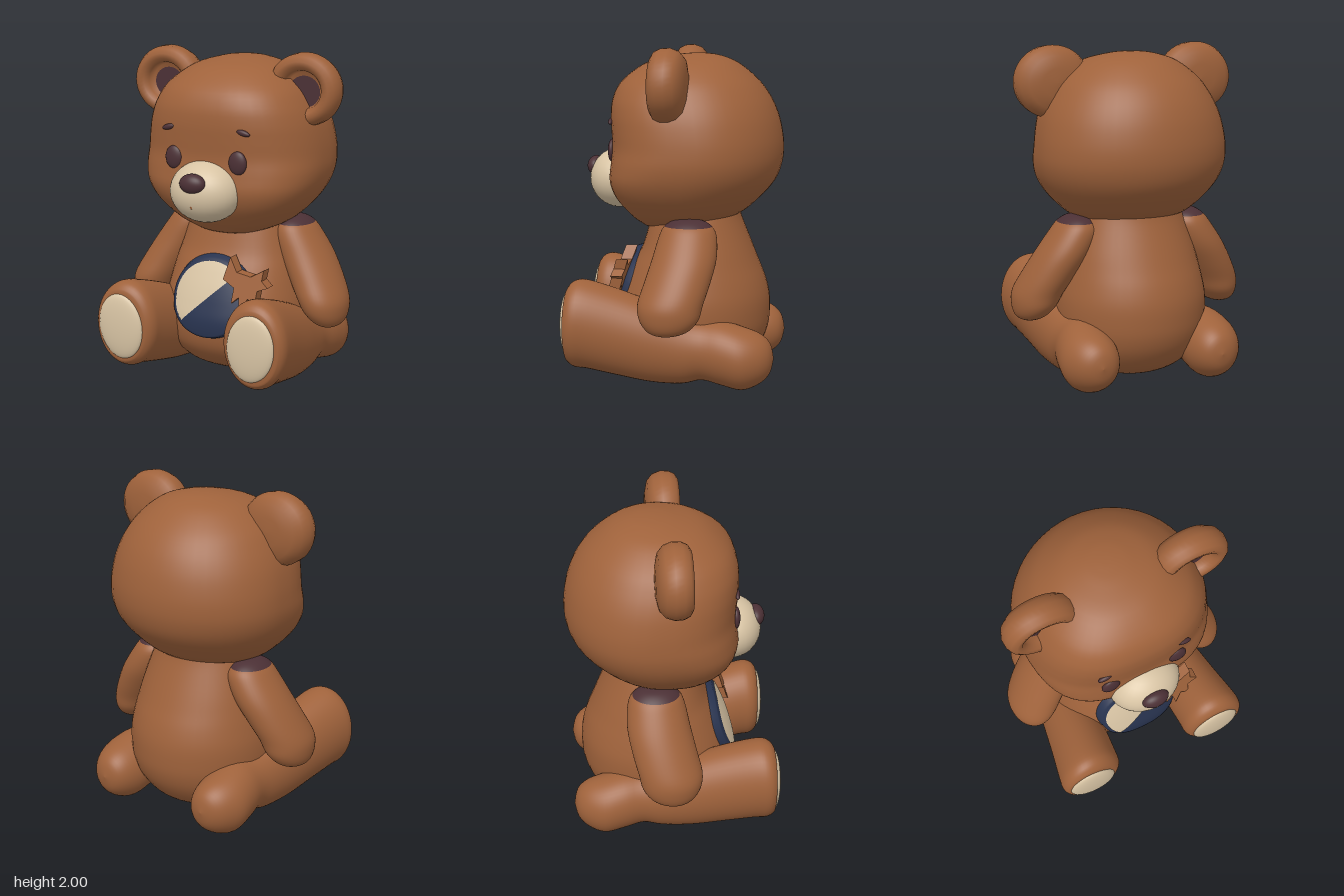
import * as THREE from 'three';

const material = (name, color, side = THREE.FrontSide) => {
  const m = new THREE.MeshStandardMaterial({ color, side });
  m.name = name;
  return m;
};

// Catmull-Rom smoothing of a list of section rows
function smooth(rows, steps = 4) {
  const out = [];
  const at = i => rows[Math.min(Math.max(i, 0), rows.length - 1)];
  for (let i = 0; i < rows.length - 1; i++) {
    for (let k = 0; k < steps; k++) {
      const t = k / steps;
      out.push(rows[i].map((b, j) => {
        const a = at(i - 1)[j], c = at(i + 1)[j], d = at(i + 2)[j];
        return b + 0.5 * t * (c - a + t * (2 * a - 5 * b + 4 * c - d + t * (3 * (b - c) + d - a)));
      }));
    }
  }
  out.push(rows[rows.length - 1]);
  return out;
}

// Sections [t, u, v, radiusU, radiusV, power]: stacked upward (y) or front to back (z);
// a power above 2 fills out the front half
function loft(sections, axis, split = Infinity) {
  const n = 48, pos = [], lower = [], upper = [];
  for (const [t, u, v, ru, rv, power = 2] of sections) {
    for (let a = 0; a < n; a++) {
      const c = Math.cos(a / n * Math.PI * 2), s = Math.sin(a / n * Math.PI * 2);
      const e = s > 0 ? 2 / power : 1;
      const p = u + Math.max(ru, 0.0005) * Math.sign(c) * Math.abs(c) ** e;
      const q = v + Math.max(rv, 0.0005) * Math.sign(s) * Math.abs(s) ** e;
      pos.push(...(axis === 'y' ? [p, t, q] : [p, q, t]));
    }
  }
  for (let i = 0; i < sections.length - 1; i++) {
    const list = sections[i][0] >= split ? upper : lower;
    for (let a = 0; a < n; a++) {
      const b = (a + 1) % n, r = i * n, s = r + n;
      list.push(r + a, s + a, r + b, r + b, s + a, s + b);
    }
  }
  const g = new THREE.BufferGeometry();
  g.setAttribute('position', new THREE.Float32BufferAttribute(pos, 3));
  g.setIndex([...lower, ...upper]);
  if (upper.length) {
    g.addGroup(0, lower.length, 0);
    g.addGroup(lower.length, upper.length, 1);
  }
  g.computeVertexNormals();
  return g;
}

// Rows given as [y, halfWidth, frontZ, backZ, power]
const upright = rows => smooth(rows.map(
  ([y, w, f, b, power = 2.4]) => [y, 0, (f + b) / 2, w, (f - b) / 2, power]));

// Front z of an upright form at (x, y)
function frontZ(sections, x, y) {
  let i = 0;
  while (i < sections.length - 2 && sections[i + 1][0] < y) i++;
  const a = sections[i], b = sections[i + 1], t = (y - a[0]) / (b[0] - a[0]);
  const [, , zc, rx, rz, power] = a.map((v, j) => v + (b[j] - v) * t);
  return zc + rz * Math.max(0, 1 - Math.abs(x / rx) ** power) ** (1 / power);
}

// Disc or sector raised over the front of an upright form, with its own lift at the rim
function patch(sections, cx, cy, rx, ry, lift, rimLift, start = 0, length = Math.PI * 2) {
  const g = new THREE.RingGeometry(0.0001, 1, 48, 20, start, length);
  const p = g.attributes.position;
  for (let i = 0; i < p.count; i++) {
    const rim = Math.hypot(p.getX(i), p.getY(i)) > 0.99;
    const x = cx + p.getX(i) * rx, y = cy + p.getY(i) * ry;
    p.setXYZ(i, x, y, frontZ(sections, x, y) + (rim ? rimLift : lift));
  }
  g.computeVertexNormals();
  return g;
}

export function createModel() {
  const fur = material('brown fur', 0x9f623b);
  const cream = material('cream', 0xd8c4a4, THREE.DoubleSide);
  const dark = material('dark brown', 0x4b3035);
  const navy = material('navy', 0x28334f, THREE.DoubleSide);

  const bear = new THREE.Group();
  bear.name = 'teddyBear';
  const add = (name, geometry, mat) => {
    const m = new THREE.Mesh(geometry, mat);
    m.name = name;
    bear.add(m);
    return m;
  };
  const ball = (name, mat, [x, y, z], [sx, sy, sz], tilt = 0) => {
    const m = add(name, new THREE.SphereGeometry(1, 32, 20), mat);
    m.position.set(x, y, z);
    m.scale.set(sx, sy, sz);
    m.rotation.z = tilt;
  };

  // Body and head; the head has full cheeks and an underside that dips towards the chin
  const body = upright([
    [0.01, 0, -0.1, -0.1], [0.015, 0.13, 0.03, -0.23], [0.04, 0.24, 0.13, -0.33],
    [0.1, 0.34, 0.24, -0.43], [0.2, 0.42, 0.33, -0.51], [0.3, 0.45, 0.365, -0.55],
    [0.4, 0.46, 0.37, -0.56], [0.5, 0.455, 0.345, -0.555], [0.6, 0.435, 0.31, -0.53],
    [0.7, 0.41, 0.265, -0.49], [0.8, 0.38, 0.215, -0.45], [0.95, 0.33, 0.17, -0.39],
    [1.02, 0.3, 0.15, -0.37],
  ]);
  const head = upright([
    [0.906, 0, 0.1, 0.1, 2.4], [0.912, 0.15, 0.19, -0.03, 2.4], [0.95, 0.285, 0.24, -0.23, 2.6],
    [1.0, 0.372, 0.29, -0.38, 2.8], [1.1, 0.475, 0.365, -0.5, 2.9], [1.2, 0.54, 0.4, -0.585, 2.9],
    [1.3, 0.57, 0.395, -0.625, 2.75], [1.4, 0.572, 0.388, -0.635, 2.55], [1.5, 0.56, 0.395, -0.625, 2.5],
    [1.6, 0.535, 0.4, -0.6, 2.5], [1.7, 0.49, 0.388, -0.555, 2.5], [1.8, 0.42, 0.335, -0.48, 2.4],
    [1.9, 0.29, 0.2, -0.36, 2.2], [1.945, 0.15, 0.04, -0.25, 2], [1.958, 0.06, -0.06, -0.17, 2],
    [1.96, 0, -0.115, -0.115, 2],
  ]);
  add('body', loft(body, 'y'), fur);
  add('head', loft(head, 'y'), fur);

  // Muzzle, nose and mouth
  ball('muzzle', cream, [0, 1.198, 0.365], [0.222, 0.184, 0.186]);
  ball('nose', dark, [0, 1.268, 0.52], [0.084, 0.06, 0.052]);
  ball('mouth', fur, [0, 1.14, 0.535], [0.008, 0.02, 0.006]);

  // Ear cup turned about its own axis
  const earProfile = [
    [0, -0.12], [0.09, -0.117], [0.17, -0.1], [0.213, -0.065], [0.232, -0.015], [0.228, 0.035],
    [0.21, 0.07], [0.18, 0.088], [0.148, 0.082], [0.124, 0.055], [0.112, 0.01], [0, 0],
  ].map(p => new THREE.Vector2(...p));

  for (const s of [1, -1]) {
    const side = s > 0 ? 'left' : 'right';

    const ear = new THREE.Group();
    ear.name = side + 'EarGroup';
    ear.position.set(s * 0.461, 1.784, -0.002);
    ear.scale.y = 0.93;
    bear.add(ear);
    ear.add(add(side + 'Ear', new THREE.LatheGeometry(earProfile, 40).rotateX(Math.PI / 2), fur));
    const inner = add(side + 'InnerEar', new THREE.CircleGeometry(0.1, 32), dark);
    inner.position.set(0, -0.013, 0.014);
    ear.add(inner);

    // Eyes and brows
    ball(side + 'Eye', dark, [s * 0.213, 1.383, frontZ(head, 0.213, 1.383) - 0.002], [0.058, 0.07, 0.026]);
    ball(side + 'Brow', dark, [s * 0.248, 1.562, frontZ(head, 0.248, 1.562)], [0.046, 0.017, 0.016], -s * 0.25);

    // Arm with a dark shoulder cap
    const arm = [
      [0.36, 0.63, -0.02, 0, 0], [0.37, 0.63, -0.02, 0.05, 0.07], [0.4, 0.62, -0.03, 0.095, 0.13],
      [0.46, 0.6, -0.035, 0.132, 0.175], [0.54, 0.575, -0.04, 0.152, 0.19],
      [0.65, 0.515, -0.07, 0.16, 0.192], [0.78, 0.437, -0.1, 0.162, 0.188],
      [0.9, 0.37, -0.11, 0.146, 0.17], [0.96, 0.355, -0.11, 0.112, 0.14],
      [0.995, 0.352, -0.11, 0.06, 0.08], [1.005, 0.352, -0.11, 0, 0],
    ].map(([y, x, ...r]) => [y, s * x, ...r]);
    add(side + 'Arm', loft(smooth(arm), 'y', 0.96), [fur, dark]);

    // Leg from the foot back to the rounded haunch; the left foot turns in slightly
    const turn = s > 0 ? 0.028 : 0;
    const leg = [
      [0.606, 0.46, 0.36, 0, 0], [0.604, 0.46, 0.36, 0.14, 0.19], [0.59, 0.455, 0.365, 0.18, 0.235],
      [0.55, 0.45, 0.368, 0.201, 0.262], [0.48, 0.443, 0.365, 0.2, 0.266],
      [0.3, 0.42, 0.32, 0.19, 0.258], [0.1, 0.4, 0.267, 0.178, 0.24], [-0.08, 0.38, 0.23, 0.168, 0.21],
      [-0.2, 0.375, 0.228, 0.162, 0.182], [-0.32, 0.385, 0.213, 0.174, 0.19],
      [-0.44, 0.392, 0.188, 0.175, 0.186], [-0.54, 0.386, 0.188, 0.138, 0.148],
      [-0.6, 0.38, 0.19, 0.08, 0.088], [-0.622, 0.38, 0.19, 0, 0],
    ].map(([z, x, ...r]) => [z, s * x - turn * Math.max(0, z) / 0.6, ...r]);
    add(side + 'Leg', loft(smooth(leg), 'z'), fur);
    ball(side + 'Sole', cream, [s * 0.46 - turn - (s > 0 ? 0.01 : 0), 0.363, 0.603], [0.152, 0.2, 0.036], -s * 0.1);
  }

  // Round raised belly badge split along its diagonal
  add('bellyBadge', patch(body, 0, 0.54, 0.27, 0.246, 0.035, 0), navy);
  add('bellyBadgeHalf', patch(body, 0, 0.54, 0.23, 0.212, 0.041, 0.041, Math.PI / 4, Math.PI), cream);

  // Pointed leaf, sheared to lean back along the belly
  const outline = [
    [0.13, 0.8], [0.185, 0.72], [0.28, 0.705], [0.36, 0.75], [0.355, 0.69], [0.4, 0.655],
    [0.335, 0.63], [0.33, 0.555], [0.28, 0.58], [0.235, 0.5], [0.22, 0.58], [0.175, 0.54],
    [0.18, 0.63], [0.1, 0.67],
  ].reverse().map(p => new THREE.Vector2(...p));
  const leaf = new THREE.ExtrudeGeometry(new THREE.Shape(outline), { depth: 0.07, bevelEnabled: false });
  const lp = leaf.attributes.position;
  for (let i = 0; i < lp.count; i++) {
    lp.setZ(i, lp.getZ(i) + 0.285 - 0.3 * (lp.getY(i) - 0.64));
  }
  leaf.computeVertexNormals();
  add('leaf', leaf, fur);

  return bear;
}
